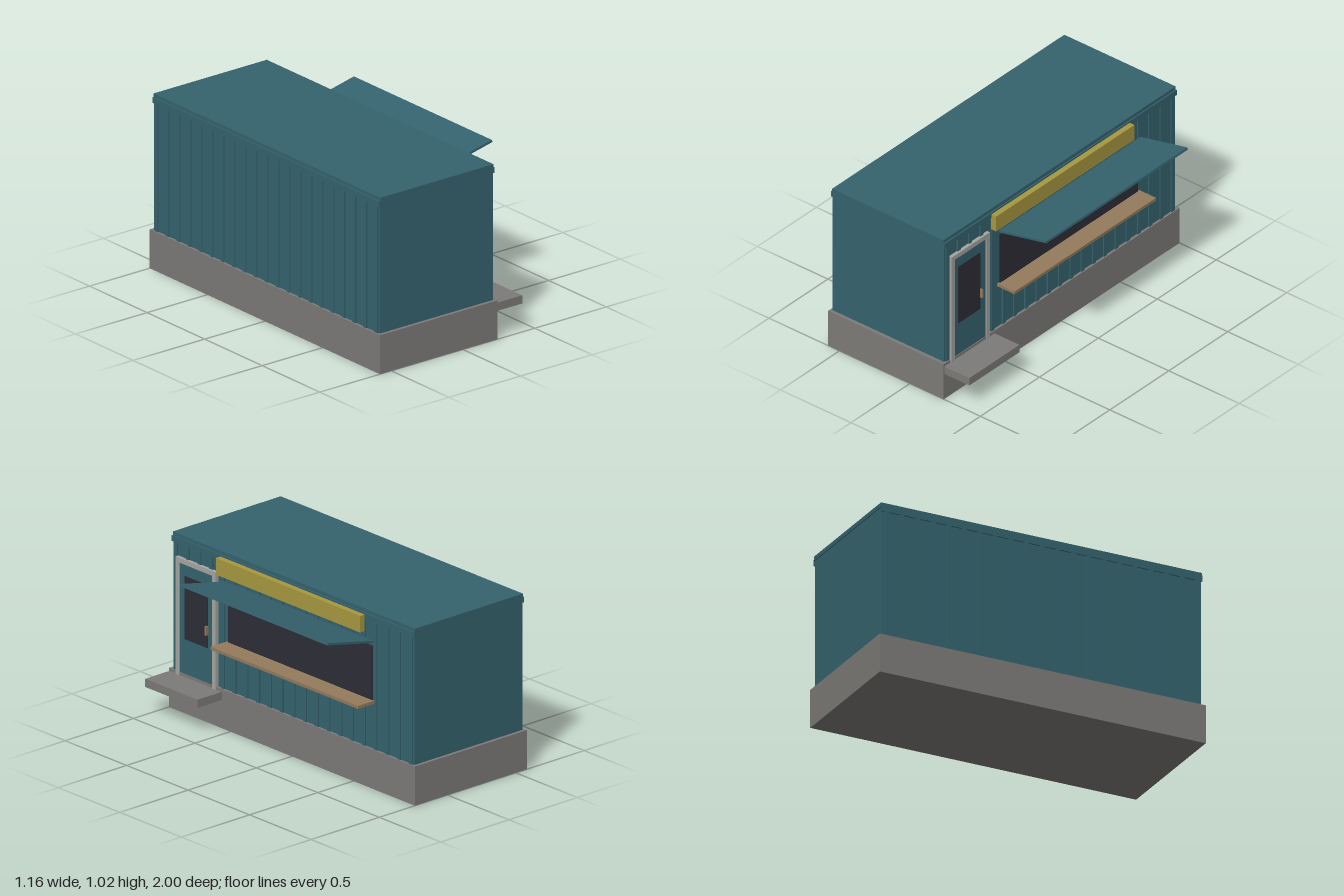
import * as THREE from 'three';

const mat = (name, color, side = THREE.FrontSide) => {
  const m = new THREE.MeshStandardMaterial({ color, side });
  m.name = name;
  return m;
};

export function createModel() {
  const group = new THREE.Group();
  const teal = mat('teal paint', 0x35636e);
  const concrete = mat('concrete', 0x7d7b78);
  const glass = mat('dark glass', 0x2d2d37);
  const frame = mat('light grey trim', 0xa5a5a2);
  const yellow = mat('yellow sign', 0xa8983f);
  const wood = mat('wood', 0x937b5c);

  // Box given by its extents on each axis
  const box = (name, material, [x0, x1], [y0, y1], [z0, z1], parent = group) => {
    const mesh = new THREE.Mesh(new THREE.BoxGeometry(x1 - x0, y1 - y0, z1 - z0), material);
    mesh.position.set((x0 + x1) / 2, (y0 + y1) / 2, (z0 + z1) / 2);
    mesh.name = name;
    parent.add(mesh);
    return mesh;
  };

  // Foundation, container body and roof
  box('foundation', concrete, [-0.58, 0.24], [0, 0.228], [-1, 1]);
  box('body', teal, [-0.565, 0.225], [0.228, 1.0], [-0.98, 0.98]);
  box('roof', teal, [-0.565, 0.225], [1.0, 1.025], [-0.985, 0.985]);

  // Long walls: top rail, corner posts and vertical ribs
  for (const [side, x] of [['left', [0.225, 0.233]], ['right', [-0.573, -0.565]]]) {
    const wall = new THREE.Group();
    wall.name = side + 'WallRibs';
    group.add(wall);
    box('topRail', teal, x, [0.972, 1.005], [-0.985, 0.985], wall);
    for (let i = 0; i < 21; i++) {
      const z = -0.955 + i * 0.0955;
      box('rib', teal, x, [0.228, 0.972], [z - 0.013, z + 0.013], wall);
    }
  }

  // Door with frame, window, handle and step
  const door = new THREE.Group();
  door.name = 'door';
  group.add(door);
  box('doorPanel', teal, [0.22, 0.236], [0.228, 0.87], [0.64, 0.915], door);
  box('doorWindow', glass, [0.235, 0.239], [0.432, 0.8], [0.687, 0.873], door);
  box('doorHandle', wood, [0.236, 0.256], [0.51, 0.563], [0.682, 0.692], door);
  box('frameFrontPost', frame, [0.22, 0.246], [0.212, 0.87], [0.913, 0.941], door);
  box('frameBackPost', frame, [0.22, 0.246], [0.212, 0.87], [0.615, 0.643], door);
  box('frameLintel', frame, [0.22, 0.246], [0.87, 0.898], [0.615, 0.941], door);
  box('doorStep', concrete, [0.23, 0.418], [0.164, 0.212], [0.57, 0.995]);

  // Serving window and counter shelf
  box('servingWindow', glass, [0.231, 0.238], [0.513, 0.832], [-0.65, 0.52]);
  box('counterShelf', wood, [0.23, 0.354], [0.497, 0.515], [-0.665, 0.535]);

  // Raised hatch, tilted outwards and up
  const angle = Math.atan2(0.072, 0.333);
  const hatch = new THREE.Mesh(new THREE.BoxGeometry(0.341, 0.013, 1.2), teal);
  hatch.name = 'awningHatch';
  hatch.position.set(0.411, 0.897, -0.065);
  hatch.rotation.z = angle;
  group.add(hatch);

  // Blank sign board
  box('signBoard', yellow, [0.232, 0.267], [0.898, 0.995], [-0.585, 0.588]);

  return group;
}
